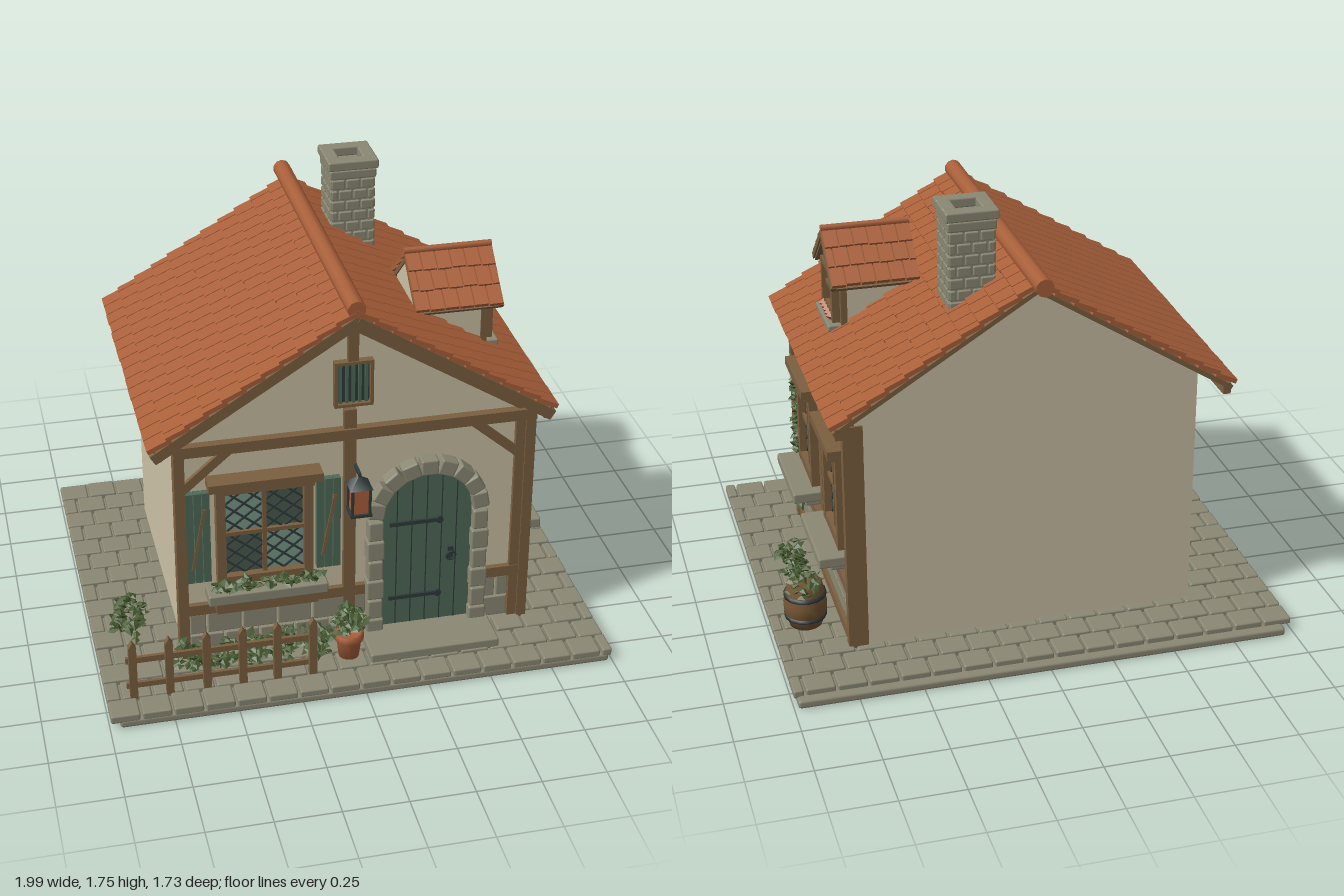
import * as THREE from 'three';
import { mergeGeometries } from 'three/addons/utils/BufferGeometryUtils.js';
import { RoundedBoxGeometry } from 'three/addons/geometries/RoundedBoxGeometry.js';

const material = (name, color) => {
  const m = new THREE.MeshStandardMaterial({ color });
  m.name = name;
  return m;
};
const M = {
  plaster: material('plaster', 0xccc2a6), timber: material('timber', 0x7c6040), stone: material('stone', 0x8b8974),
  tile: material('clay tile', 0xa9603a), green: material('painted green', 0x4f6a57), glass: material('light glass', 0x7a9a88),
  dark: material('dark glass', 0x495a50), leaf: material('leaf', 0x465a30), iron: material('iron', 0x2f3a3a),
  barrel: material('barrel wood', 0x765534),
};

let seed = 7;
const rnd = () => (seed = (seed * 16807) % 2147483647) / 2147483647;
const rand = (a, b) => a + (b - a) * rnd();

// Box given by its extents
const span = (x0, x1, y0, y1, z0, z1) =>
  new THREE.BoxGeometry(x1 - x0, y1 - y0, z1 - z0).translate((x0 + x1) / 2, (y0 + y1) / 2, (z0 + z1) / 2);
const stoneBox = (w, h, d, x, y, z, r = 0.008) => new RoundedBoxGeometry(w, h, d, 1, r).translate(x, y, z);
// Straight timber between two points of a plane facing z
const beam = (x0, y0, x1, y1, w, z0, z1) =>
  new THREE.BoxGeometry(Math.hypot(x1 - x0, y1 - y0), w, z1 - z0)
    .rotateZ(Math.atan2(y1 - y0, x1 - x0)).translate((x0 + x1) / 2, (y0 + y1) / 2, (z0 + z1) / 2);
const prism = (pts, z0, z1) =>
  new THREE.ExtrudeGeometry(new THREE.Shape(pts.map(p => new THREE.Vector2(...p))), { depth: z1 - z0, bevelEnabled: false }).translate(0, 0, z0);
function part(parent, name, mat, geos) {
  const mesh = new THREE.Mesh(mergeGeometries(geos.map(g => (g.index ? g.toNonIndexed() : g))), mat);
  mesh.name = name;
  parent.add(mesh);
  return mesh;
}
function group(parent, name, x = 0, y = 0, z = 0, ry = 0) {
  const g = new THREE.Group();
  g.name = name;
  g.position.set(x, y, z);
  g.rotation.y = ry;
  parent.add(g);
  return g;
}

// Staggered blocks on a face towards +z
function courses(x0, x1, y0, y1, rows, width, depth) {
  const out = [], h = (y1 - y0) / rows;
  for (let r = 0; r < rows; r++) {
    for (let x = x0 - (r % 2) * width / 2; x < x1 - 0.01; x += width) {
      const a = Math.max(x, x0), b = Math.min(x + width, x1);
      if (b - a > 0.015) out.push(stoneBox(b - a - 0.007, h - 0.007, depth, (a + b) / 2, y0 + (r + 0.5) * h, 0, 0.005));
    }
  }
  return out;
}

// Two tiled slopes with the ridge along z, and the boards beneath
function tiledRoof(parent, cx, ridge, run, drop, rows, cols, z0, z1) {
  const a = Math.atan2(drop, run), len = Math.hypot(run, drop), pitch = len / rows, w = (z1 - z0) / cols;
  const tiles = [], boards = [];
  for (const s of [-1, 1]) {
    for (let r = 0; r < rows; r++) {
      for (let z = z0 - (r % 2) * w / 2; z < z1 - 0.01; z += w) {
        const p = Math.max(z, z0), q = Math.min(z + w, z1), d = (r + 0.5) * pitch, l = pitch * 1.12 + rand(-0.004, 0.006);
        tiles.push(new THREE.BoxGeometry(l, 0.018, q - p - 0.005).rotateZ(-s * (a - 0.13))
          .translate(cx + s * d * Math.cos(a), ridge - d * Math.sin(a), (p + q) / 2));
      }
    }
    boards.push(new THREE.BoxGeometry(len, 0.018, z1 - z0 - 0.01).rotateZ(-s * a)
      .translate(cx + s * (run / 2 - 0.01), ridge - drop / 2 - 0.022, (z0 + z1) / 2));
  }
  part(parent, 'roofTiles', M.tile, tiles);
  part(parent, 'roofBoards', M.timber, boards);
}

// Four-pane leaded window facing +z, centred on its origin
function windowUnit(parent, name, w, h, panes, x, y, z, ry = 0, t = 0.035, cells = [2, 3]) {
  const g = group(parent, name, x, y, z, ry), pw = w / 2 - t, ph = h / 2 - t, lead = [], glass = { glass: [], dark: [] };
  part(g, 'windowFrame', M.timber, [
    ...[-1, 1].flatMap(s => [
      span(s * (w - t) / 2 - t / 2, s * (w - t) / 2 + t / 2, -h / 2, h / 2, 0, 0.045),
      span(-w / 2, w / 2, s * (h - t) / 2 - t / 2, s * (h - t) / 2 + t / 2, 0, 0.044)]),
    span(-0.008, 0.008, -h / 2 + t, h / 2 - t, 0, 0.03), span(-w / 2 + t, w / 2 - t, -0.008, 0.008, 0, 0.03)]);
  panes.forEach((key, i) => {
    const x0 = i % 2 ? 0 : -pw, y0 = i < 2 ? 0 : -ph, cw = pw / cells[0], ch = ph / cells[1];
    glass[key].push(span(x0, x0 + pw, y0, y0 + ph, 0.004, 0.012));
    for (let c = 0; c < cells[0]; c++) for (let r = 0; r < cells[1]; r++) {
      const l = x0 + c * cw, b = y0 + r * ch;
      lead.push(beam(l, b, l + cw, b + ch, 0.007, 0.01, 0.018), beam(l, b + ch, l + cw, b, 0.007, 0.01, 0.018));
    }
  });
  for (const k in glass) if (glass[k].length) part(g, 'panes', M[k], glass[k]);
  if (cells[0] > 1) part(g, 'leading', M.iron, lead);
  return g;
}

// Cluster of small leaves filling an ellipsoid
function foliage(parent, name, x, y, z, rx, ry, rz, n) {
  const out = [];
  for (let i = 0; i < n; i++) {
    const u = rand(0, 6.28), v = rand(-1, 1), k = rand(0.45, 1), c = Math.sqrt(1 - v * v), s = rand(0.018, 0.03);
    out.push(new THREE.OctahedronGeometry(s, 0).scale(1, 0.4, 0.7).rotateZ(rand(-0.8, 0.8)).rotateY(u)
      .translate(x + rx * k * c * Math.cos(u), y + ry * k * v, z + rz * k * c * Math.sin(u)));
  }
  part(parent, name, M.leaf, out);
}
const lathe = (pts, x, y, z, n = 14) => new THREE.LatheGeometry(pts.map(p => new THREE.Vector2(...p)), n).translate(x, y, z);

function ground(root) {
  part(root, 'baseSlab', M.stone, [stoneBox(1.945, 0.035, 1.725, 0.012, 0.0175, -0.002, 0.012)]);
  const out = [];
  for (let r = 0; r < 15; r++) {
    const z = -0.775 + r * 0.113;
    for (let c = 0; c < 17; c++) {
      const x0 = Math.max(-1, -1 + c * 0.122 - (r % 2) * 0.06), x1 = Math.min(1, -1 + (c + 1) * 0.122 - (r % 2) * 0.06);
      const m = (x0 + x1) / 2;
      if (x1 - x0 < 0.03 || (m > -0.62 && m < 0.66 && z > -0.53 && z < 0.5)) continue;
      out.push(stoneBox(x1 - x0 - 0.008, 0.032 + rand(-0.004, 0.004), 0.105, m, 0.042, z));
    }
  }
  part(root, 'pavingStones', M.stone, out);
  part(root, 'doorStep', M.stone, [stoneBox(0.52, 0.045, 0.2, 0.305, 0.07, 0.64)]);
}

function house(root) {
  part(root, 'walls', M.plaster, [prism([[-0.655, 0.035], [0.695, 0.035], [0.695, 1.05], [0.01, 1.47], [-0.655, 1.06]], -0.57, 0.53)]);
  // Front timbers
  part(root, 'frontTimbers', M.timber, [
    span(-0.678, -0.638, 0.05, 1, 0.5, 0.557), span(0.655, 0.692, 0.05, 1, 0.52, 0.55), span(0.692, 0.732, 0.05, 1, 0.505, 0.557),
    span(-0.025, 0.022, 0.05, 1.1, 0.52, 0.555), span(-0.678, 0.732, 0.975, 1.02, 0.52, 0.565),
    span(-0.64, 0.07, 0.255, 0.3, 0.52, 0.553), span(0.55, 0.7, 0.255, 0.3, 0.52, 0.553), span(-0.012, 0.028, 1.3, 1.49, 0.52, 0.555),
    beam(-0.65, 0.82, -0.46, 0.985, 0.035, 0.52, 0.548), beam(0.48, 0.985, 0.67, 0.82, 0.035, 0.52, 0.548),
    beam(-0.76, 1.005, 0.01, 1.49, 0.042, 0.565, 0.605), beam(0.78, 1.005, 0.01, 1.49, 0.042, 0.565, 0.605),
    beam(-0.66, 1.025, 0.01, 1.445, 0.026, 0.52, 0.55), beam(0.68, 1.025, 0.01, 1.445, 0.026, 0.52, 0.55)]);
  // Right side timbers, drawn facing +z and turned to +x
  const side = group(root, 'rightSide', 0.695, 0, 0, Math.PI / 2);
  const joists = [0.4, 0.23, 0.055, -0.12, -0.29, -0.465].map(z => span(-z - 0.014, -z + 0.014, 0.965, 1, 0, 0.075));
  part(side, 'sideTimbers', M.timber, [
    span(-0.505, -0.467, 0.05, 1, -0.01, 0.025), span(0.015, 0.06, 0.28, 1, -0.01, 0.028), span(0.54, 0.58, 0.05, 1, -0.04, 0.037),
    span(-0.51, 0.56, 0.26, 0.3, -0.01, 0.032), span(-0.51, 0.56, 0.055, 0.1, -0.01, 0.032), span(-0.55, 0.57, 0.975, 1.005, -0.01, 0.032),
    beam(-0.48, 0.86, -0.35, 0.985, 0.03, -0.01, 0.024), beam(0.43, 0.985, 0.55, 0.86, 0.03, -0.01, 0.024), ...joists]);
  part(side, 'sideStonework', M.stone, courses(-0.465, 0.54, 0.1, 0.26, 2, 0.145, 0.04));
  part(root, 'frontStonework', M.stone, [...courses(-0.638, 0.07, 0.06, 0.255, 2, 0.14, 0.04),
    ...courses(0.55, 0.655, 0.06, 0.255, 2, 0.105, 0.04)].map(g => g.translate(0, 0, 0.525)));
  part(root, 'eaveBoards', M.timber, [span(0.745, 0.775, 0.995, 1.04, -0.665, 0.6), span(-0.755, -0.725, 0.995, 1.04, -0.665, 0.6)]);
  // Main roof and ridge
  tiledRoof(root, 0.01, 1.53, 0.78, 0.49, 11, 16, -0.67, 0.607);
  part(root, 'ridgeCap', M.tile, [new THREE.CylinderGeometry(0.035, 0.035, 1.34, 10).rotateX(Math.PI / 2).translate(0.007, 1.54, -0.067)]);
  // Side windows
  for (const z of [0.225, -0.31]) {
    const g = windowUnit(side, 'sideWindow', 0.29, 0.41, ['dark', 'glass', 'dark', 'dark'], -z, 0.622, 0);
    part(g, 'lintel', M.timber, [span(-0.18, 0.18, 0.205, 0.24, 0, 0.08), span(-0.15, 0.15, 0.18, 0.205, 0, 0.06)]);
    part(g, 'sill', M.stone, [stoneBox(0.385, 0.045, 0.13, 0, -0.228, 0.065),
      ...[-0.09, 0.09].map(x => stoneBox(0.045, 0.06, 0.07, x, -0.28, 0.035))]);
  }
}

function front(root) {
  // Window with shutters and planter
  const w = windowUnit(root, 'frontWindow', 0.375, 0.44, ['glass', 'dark', 'dark', 'glass'], -0.337, 0.615, 0.53);
  part(w, 'lintel', M.timber, [span(-0.22, 0.22, 0.22, 0.255, 0, 0.08), span(-0.19, 0.19, 0.195, 0.22, 0, 0.06)]);
  part(w, 'planterSill', M.stone, [stoneBox(0.47, 0.048, 0.1, 0, -0.25, 0.055)]);
  part(w, 'planterBracket', M.timber, [span(-0.2, 0.2, -0.33, -0.275, 0, 0.075)]);
  for (let i = 0; i < 5; i++) foliage(w, 'planterLeaves', -0.17 + i * 0.085, -0.21, 0.07, 0.05, 0.02, 0.03, 16);
  for (const x of [-0.593, -0.085]) {
    const g = group(root, 'shutter', x, 0.61, 0.53);
    part(g, 'shutterPlanks', M.green, [-1, 0, 1].map(i => span(i * 0.032 - 0.0145, i * 0.032 + 0.0145, -0.2, 0.2, 0, 0.028)));
    part(g, 'shutterBrace', M.timber, [beam(-0.025, -0.14, 0.025, 0.13, 0.012, 0.02, 0.034)]);
  }
  // Arched door
  const d = group(root, 'door', 0.308, 0, 0.53), R = 0.18, spring = 0.61;
  const arch = new THREE.Shape();
  arch.moveTo(-R, 0.07); arch.lineTo(R, 0.07); arch.lineTo(R, spring); arch.absarc(0, spring, R, 0, Math.PI, false);
  part(d, 'doorLeaf', M.green, [new THREE.ExtrudeGeometry(arch, { depth: 0.02, bevelEnabled: false })]);
  part(d, 'doorIronwork', M.iron, [
    ...[-2, -1, 0, 1, 2].map(i => span(i * 0.06 - 0.002, i * 0.06 + 0.002, 0.09, spring + Math.sqrt(R * R - (i * 0.06) ** 2), 0.015, 0.022)),
    ...[0.22, 0.565].flatMap(y => [span(-0.15, 0.04, y - 0.008, y + 0.008, 0.018, 0.03),
      new THREE.CylinderGeometry(0.015, 0.015, 0.012, 10).rotateX(Math.PI / 2).translate(0.05, y, 0.026)]),
    span(0.088, 0.11, 0.37, 0.43, 0.018, 0.028), new THREE.TorusGeometry(0.018, 0.005, 6, 12).translate(0.099, 0.395, 0.034)]);
  const blocks = [];
  for (let i = 0; i < 9; i++) {
    const a = (i + 0.5) * Math.PI / 9;
    blocks.push(new RoundedBoxGeometry(0.066, 0.07, 0.06, 1, 0.008).rotateZ(a).translate(0.21 * Math.cos(a), spring + 0.21 * Math.sin(a), 0.025));
  }
  for (const s of [-1, 1]) for (let i = 0; i < 6; i++) blocks.push(stoneBox(i % 2 ? 0.06 : 0.07, 0.086, 0.06, s * 0.21, 0.102 + i * 0.091, 0.025));
  part(d, 'doorArch', M.stone, blocks);
  // Gable vent
  const v = group(root, 'gableVent', 0.01, 1.21, 0.53);
  part(v, 'ventBack', M.iron, [span(-0.07, 0.07, -0.09, 0.09, 0, 0.008)]);
  part(v, 'ventFrame', M.timber, [span(-0.075, -0.063, -0.09, 0.09, 0, 0.03), span(0.063, 0.075, -0.09, 0.09, 0, 0.03), span(-0.075, 0.075, -0.095, -0.083, 0, 0.03), span(-0.075, 0.075, 0.083, 0.095, 0, 0.03)]);
  part(v, 'ventBars', M.green, [-2, -1, 0, 1, 2].map(i => span(i * 0.025 - 0.006, i * 0.025 + 0.006, -0.083, 0.083, 0, 0.018)));
  // Lantern
  const l = group(root, 'lantern', 0.018, 0.75, 0.622);
  part(l, 'lanternIron', M.iron, [span(-0.006, 0.006, 0.1, 0.112, -0.075, 0.01), span(-0.004, 0.004, 0.08, 0.11, -0.004, 0.004),
    new THREE.ConeGeometry(0.062, 0.045, 4).rotateY(Math.PI / 4).translate(0, 0.078, 0), span(-0.042, 0.042, -0.064, -0.052, -0.042, 0.042),
    ...[-1, 1].flatMap(i => [-1, 1].map(j => span(i * 0.034 - 0.005, i * 0.034 + 0.005, -0.06, 0.06, j * 0.034 - 0.005, j * 0.034 + 0.005)))]);
  part(l, 'lanternGlow', M.tile, [span(-0.032, 0.032, -0.055, 0.056, -0.032, 0.032)]);
}

function roofFeatures(root) {
  // Chimney
  const c = group(root, 'chimney', 0.2, 0, -0.355), bricks = [];
  for (let k = 0; k < 4; k++) bricks.push(...courses(-0.09, 0.09, 1.26, 1.67, 9, 0.06, 0.016).map(g => g.translate(0, 0, 0.084).rotateY(k * Math.PI / 2)));
  part(c, 'chimneyCore', M.stone, [span(-0.082, 0.082, 1.25, 1.68, -0.082, 0.082)]);
  part(c, 'chimneyBricks', M.stone, bricks);
  part(c, 'chimneyCap', M.stone, [-1, 1].flatMap(s => [stoneBox(0.205, 0.04, 0.055, 0, 1.73, s * 0.075), stoneBox(0.055, 0.04, 0.1, s * 0.075, 1.73, 0),
    stoneBox(0.19, 0.04, 0.055, 0, 1.69, s * 0.068), stoneBox(0.055, 0.04, 0.1, s * 0.068, 1.69, 0)]));
  // Dormer, drawn facing +z and turned to +x
  const d = group(root, 'dormer', 0, 0, 0.115, Math.PI / 2);
  part(d, 'dormerWalls', M.plaster, [prism([[-0.13, 1.13], [0.13, 1.13], [0.13, 1.36], [0, 1.485], [-0.13, 1.36]], 0.32, 0.605)]);
  tiledRoof(d, 0, 1.515, 0.185, 0.165, 3, 6, 0.31, 0.66);
  part(d, 'dormerRidge', M.tile, [new THREE.CylinderGeometry(0.014, 0.014, 0.35, 8).rotateX(Math.PI / 2).translate(0, 1.52, 0.485)]);
  part(d, 'dormerTimbers', M.timber, [-1, 1].flatMap(s => [beam(s * 0.185, 1.335, 0, 1.5, 0.024, 0.64, 0.662), span(s * 0.122 - 0.012, s * 0.122 + 0.012, 1.15, 1.37, 0.59, 0.615)]));
  windowUnit(d, 'dormerWindow', 0.22, 0.2, ['glass', 'glass', 'glass', 'glass'], 0, 1.265, 0.6, 0, 0.022, [1, 1]);
  part(d, 'dormerSill', M.stone, [stoneBox(0.26, 0.03, 0.075, 0, 1.148, 0.63)]);
  part(d, 'dormerFlowers', M.tile, [-2, -1, 0, 1, 2].map(i => new THREE.OctahedronGeometry(0.02).translate(i * 0.034, 1.18, 0.645)));
}

function garden(root) {
  // Picket fence
  const pickets = [-0.89, -0.75, -0.605, -0.465, -0.33, -0.19].map(x =>
    prism([[x - 0.015, 0.05], [x + 0.015, 0.05], [x + 0.015, 0.285], [x, 0.31], [x - 0.015, 0.285]], 0.73, 0.755));
  part(root, 'fence', M.timber, [...pickets, span(-0.915, -0.17, 0.2, 0.225, 0.718, 0.732), span(-0.915, -0.17, 0.085, 0.108, 0.718, 0.732)]);
  // Flowerbed, bushes and climber
  for (let i = 0; i < 5; i++) foliage(root, 'bush', -0.65 + i * 0.122, 0.14, 0.655, 0.075, 0.085, 0.05, 46);
  foliage(root, 'leftBush', -0.85, 0.16, 0.37, 0.085, 0.11, 0.1, 70);
  foliage(root, 'rightBush', 0.85, 0.135, 0.01, 0.07, 0.08, 0.11, 60);
  for (let i = 0; i < 14; i++) foliage(root, 'ivy', 0.738, 0.18 + i * 0.044, 0.41 + 0.015 * Math.sin(i * 1.3), 0.018, 0.022, 0.03, 7);
  // Clay pot
  part(root, 'pot', M.tile, [lathe([[0, 0], [0.04, 0], [0.05, 0.08], [0.058, 0.08], [0.058, 0.108], [0.045, 0.108], [0, 0.098]], -0.028, 0.058, 0.665)]);
  foliage(root, 'potPlant', -0.028, 0.22, 0.665, 0.075, 0.065, 0.07, 55);
  // Barrel planter
  part(root, 'barrel', M.barrel, [lathe([[0, 0], [0.065, 0], [0.084, 0.06], [0.086, 0.1], [0.07, 0.18], [0.06, 0.18], [0, 0.17]], 0.86, 0.058, -0.355)]);
  part(root, 'barrelHoops', M.iron, [[0.045, 0.081], [0.135, 0.081]].map(([y, r]) => lathe([[r - 0.01, -0.008], [r + 0.003, -0.008], [r + 0.003, 0.008], [r - 0.01, 0.008]], 0.86, 0.058 + y, -0.355)));
  foliage(root, 'barrelPlant', 0.86, 0.235, -0.355, 0.075, 0.05, 0.1, 55);
}

export function createModel() {
  seed = 7;
  const root = new THREE.Group();
  root.name = 'cottage';
  [ground, house, front, roofFeatures, garden].forEach(build => build(root));
  return root;
}
